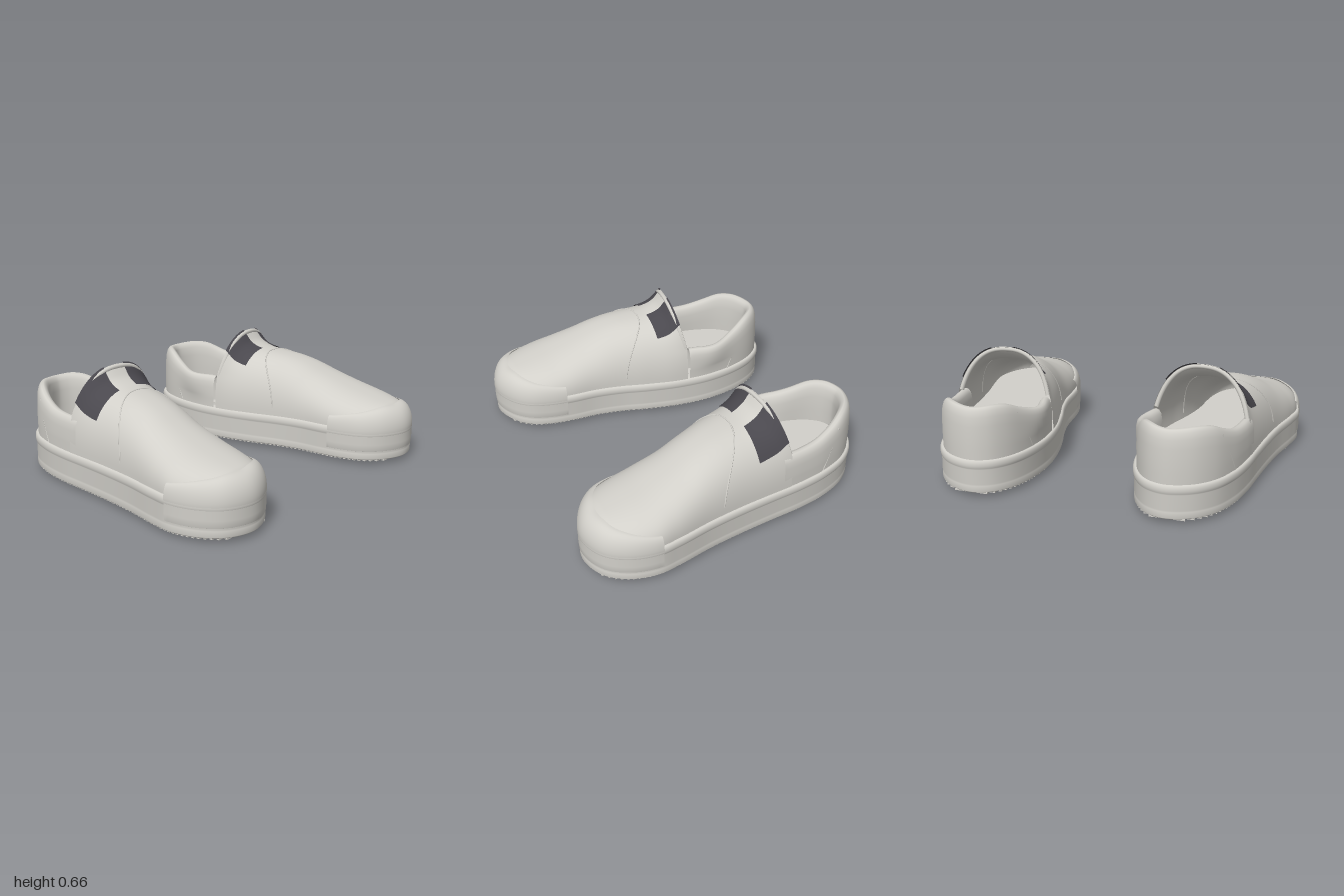
import * as THREE from 'three';

const grey = new THREE.MeshStandardMaterial({ color: 0xd2d0ca, side: THREE.DoubleSide });
grey.name = 'warm light grey';
const dark = new THREE.MeshStandardMaterial({ color: 0x4a484e, side: THREE.DoubleSide });
dark.name = 'charcoal elastic';

// Surface through rows of [x, y, z] points; closed joins each row's end to its start
function grid(rows, closed = false) {
  const n = rows[0].length, index = [];
  for (let r = 0; r < rows.length - 1; r++) {
    for (let i = 0; i < (closed ? n : n - 1); i++) {
      const a = r * n + i, b = r * n + (i + 1) % n;
      index.push(a, b, a + n, b, b + n, a + n);
    }
  }
  const g = new THREE.BufferGeometry();
  g.setAttribute('position', new THREE.Float32BufferAttribute(rows.flat(2), 3));
  g.setIndex(index);
  g.computeVertexNormals();
  return g;
}

// Smooth lookup table over z
function table(points) {
  const pts = new THREE.SplineCurve(points.map(p => new THREE.Vector2(...p))).getPoints(200);
  return z => {
    if (z <= pts[0].x) return pts[0].y;
    for (let i = 1; i < pts.length; i++) {
      if (z <= pts[i].x) {
        return THREE.MathUtils.mapLinear(z, pts[i - 1].x, pts[i].x, pts[i - 1].y, pts[i].y);
      }
    }
    return pts[pts.length - 1].y;
  };
}

// Footprint of the left shoe, with outward normals
const footprint = new THREE.CatmullRomCurve3([
  [0.72, 0.84], [0.87, 0.79], [0.955, 0.68], [0.99, 0.53], [0.973, 0.4], [0.93, 0.2], [0.9, 0],
  [0.878, -0.2], [0.86, -0.38], [0.825, -0.55], [0.76, -0.7], [0.66, -0.8], [0.53, -0.842],
  [0.43, -0.81], [0.355, -0.73], [0.3, -0.6], [0.27, -0.4], [0.285, -0.2], [0.33, 0],
  [0.375, 0.15], [0.405, 0.3], [0.417, 0.46], [0.435, 0.58], [0.48, 0.7], [0.57, 0.79],
].map(([x, z]) => new THREE.Vector3(x, 0, z)), true);
const N = 180;
const outline = Array.from({ length: N }, (_, i) => {
  const p = footprint.getPointAt(i / N), t = footprint.getTangentAt(i / N);
  return { x: p.x, z: p.z, nx: t.z * -1, nz: t.x };
});
// Consecutive outline points satisfying a test
function run(test) {
  const start = outline.findIndex((p, i) => test(p) && !test(outline[(i + N - 1) % N]));
  return [...outline.slice(start), ...outline.slice(0, start)].filter(test);
}
const at = (p, off, y) => [p.x + p.nx * off, y, p.z + p.nz * off];

// Inner and outer x of the footprint at a given z
function span(z) {
  const xs = [];
  outline.forEach((a, i) => {
    const b = outline[(i + 1) % N];
    if ((a.z - z) * (b.z - z) <= 0 && a.z !== b.z) xs.push(a.x + (b.x - a.x) * (z - a.z) / (b.z - a.z));
  });
  const lo = Math.min(...xs), hi = Math.max(...xs);
  return { c: (lo + hi) / 2, hw: (hi - lo) / 2 - 0.012 };
}

const crest = table([[-0.28, 0.66], [-0.25, 0.63], [-0.2, 0.59], [-0.12, 0.562], [0, 0.547], [0.1, 0.53],
  [0.2, 0.5], [0.3, 0.457], [0.4, 0.42], [0.5, 0.387], [0.6, 0.362], [0.7, 0.337], [0.74, 0.325], [0.78, 0.292]]);
const rim = table([[-0.845, 0.49], [-0.78, 0.497], [-0.7, 0.485], [-0.6, 0.445], [-0.5, 0.415],
  [-0.4, 0.405], [-0.3, 0.405], [-0.2, 0.4]]);
const POW = 2.4, BACK = -0.28;
const arch = f => Math.pow(Math.max(0, 1 - Math.pow(Math.abs(f), POW)), 1 / POW);

// Point on the vamp; f runs -1..1 across, the back edge leans with the tongue
function vampPoint(f, z, lift = 0) {
  const { c, hw } = span(z);
  const x = c + hw * f, y = 0.2 + (crest(z) - 0.2) * arch(f);
  const blend = THREE.MathUtils.smoothstep(-z, 0, -BACK);
  return [x + f * lift, y + lift * arch(f),
    z + blend * (-0.1 * (x - c) + 0.22 * Math.max(0, y - 0.415))];
}
function across(u) {
  const k = -Math.cos(u * Math.PI);
  return Math.sign(k) * Math.pow(Math.abs(k), 2 / POW);
}
const steps = (n, fn) => Array.from({ length: n + 1 }, (_, i) => fn(i / n));
const tube = (pts, r) => new THREE.TubeGeometry(
  new THREE.CatmullRomCurve3(pts.map(p => new THREE.Vector3(...p))), 60, r, 8);

// Flat sheet in the footprint's shape
function sheet(off, y) {
  const shape = new THREE.Shape(outline.map(p => {
    const [x, , z] = at(p, off, y);
    return new THREE.Vector2(x, -z);
  }));
  return new THREE.ShapeGeometry(shape).rotateX(-Math.PI / 2).translate(0, y, 0);
}

function makeShoe() {
  const shoe = new THREE.Group();
  const add = (name, geometry, material = grey) => {
    const mesh = new THREE.Mesh(geometry, material);
    mesh.name = name;
    shoe.add(mesh);
  };

  // Sole wall with its bands
  const soleProfile = [[-0.02, 0.027], [-0.005, 0.028], [0, 0.034], [0, 0.066], [-0.005, 0.07], [0, 0.075],
    [-0.001, 0.158], [0.004, 0.166], [0.006, 0.18], [0.005, 0.198], [-0.003, 0.208], [-0.03, 0.21]];
  add('sole', grid(soleProfile.map(([o, y]) => outline.map(p => at(p, o, y))), true));
  add('soleBottom', sheet(-0.019, 0.027));
  add('insole', sheet(-0.03, 0.235));

  // Tread ribs across the underside
  const ribs = new THREE.Group();
  ribs.name = 'treadRibs';
  for (let z = -0.81; z < 0.81; z += 0.027) {
    const { c, hw } = span(z);
    const rib = new THREE.Mesh(new THREE.BoxGeometry(hw * 2, 0.01, 0.016), grey);
    rib.position.set(c, 0.025, z);
    rib.name = 'treadRib';
    ribs.add(rib);
  }
  shoe.add(ribs);

  // Curved raised tread under the toe
  const bar = (r, y) => steps(28, u => [0.71 + r * Math.cos(u * Math.PI), y, 0.5 + r * 1.2 * Math.sin(u * Math.PI)]);
  add('toeTread', grid([bar(0.192, 0.027), bar(0.188, 0), bar(0.168, 0), bar(0.164, 0.027)]));

  // Toe cap wrapping the front of the sole
  const front = run(p => p.z > 0.485);
  const capRows = [[-0.004, 0.078], [0.003, 0.082], [0.005, 0.12], [0.004, 0.16]]
    .map(([o, y]) => front.map(p => at(p, o, y)));
  steps(12, u => capRows.push(front.map(p => {
    const k = Math.min(1, Math.max(0, (p.z - 0.48) / 0.36));
    const inset = 0.026 + 0.07 * Math.pow(k, 1.5), a = u * Math.PI / 2;
    const [ex, , ez] = at(p, 0.006 - inset, 0);
    const { c, hw } = span(ez);
    const top = 0.206 + (crest(ez) - 0.2) * arch((ex - c) / hw);
    return at(p, 0.006 - inset * (1 - Math.cos(a)), 0.19 + (top - 0.19) * Math.sin(a));
  })));
  add('toeCap', grid(capRows));

  // Vamp from toe to tongue
  add('vamp', grid(steps(60, t => steps(48, u => vampPoint(across(u), 0.78 + (BACK - 0.78) * t)))));
  add('vampSeam', tube(steps(30, u => {
    const f = across(0.04 + 0.92 * u);
    return vampPoint(f, -0.05 + 0.17 * f * f);
  }), 0.004));
  add('tongueEdge', tube(steps(40, u => {
    const p = vampPoint(across(0.13 + 0.74 * u), BACK, -0.013);
    return [p[0], p[1], p[2] + 0.006];
  }), 0.013));

  // Elastic panels beside the tongue
  for (const [name, f0, f1] of [['innerElastic', -0.72, -0.14], ['outerElastic', 0.3, 0.86]]) {
    add(name, grid(steps(14, t => steps(12, u =>
      vampPoint(f0 + (f1 - f0) * u, -0.105 + (BACK - 0.003 + 0.105) * t, 0.006)))), dark);
  }

  // Padded heel wall, rolled over the rim and down inside
  const heel = run(p => p.z < -0.245);
  const wall = [[-0.012, 0, 0.2], [-0.011, 0, 0.26], [-0.011, 0.4, 0.2], [-0.013, 0.65, 0.2], [-0.017, 0.82, 0.2],
    [-0.026, 0.93, 0.2], [-0.038, 0.985, 0.2], [-0.052, 1, 0.2], [-0.068, 0.97, 0.2], [-0.08, 0.88, 0.2],
    [-0.086, 0.7, 0.2], [-0.084, 0.4, 0.2], [-0.08, 0, 0.23]];
  add('heelCounter', grid(wall.map(([o, k, base]) => heel.map(p => {
    const bulge = p.nx < 0 ? 0.03 * k * Math.exp(-Math.pow((p.z + 0.43) / 0.11, 2)) : 0;
    return at(p, o + bulge, base + k * (rim(p.z) - base));
  }))));

  // Slanted stitching ridges on the heel sides
  for (const [name, side] of [['outerHeelSeam', 1], ['innerHeelSeam', -1]]) {
    add(name, tube(steps(8, u => {
      const z = -0.53 - 0.11 * u, { c, hw } = span(z);
      return [c + side * (hw - 0.002 - 0.012 * u * u), 0.21 + 0.22 * u, z];
    }), 0.005));
  }
  return shoe;
}

export function createModel() {
  const model = new THREE.Group();
  model.name = 'slipOnShoes';
  const left = makeShoe(), right = makeShoe();
  left.name = 'leftShoe';
  right.name = 'rightShoe';
  right.scale.x = -1;
  model.add(left, right);
  return model;
}
